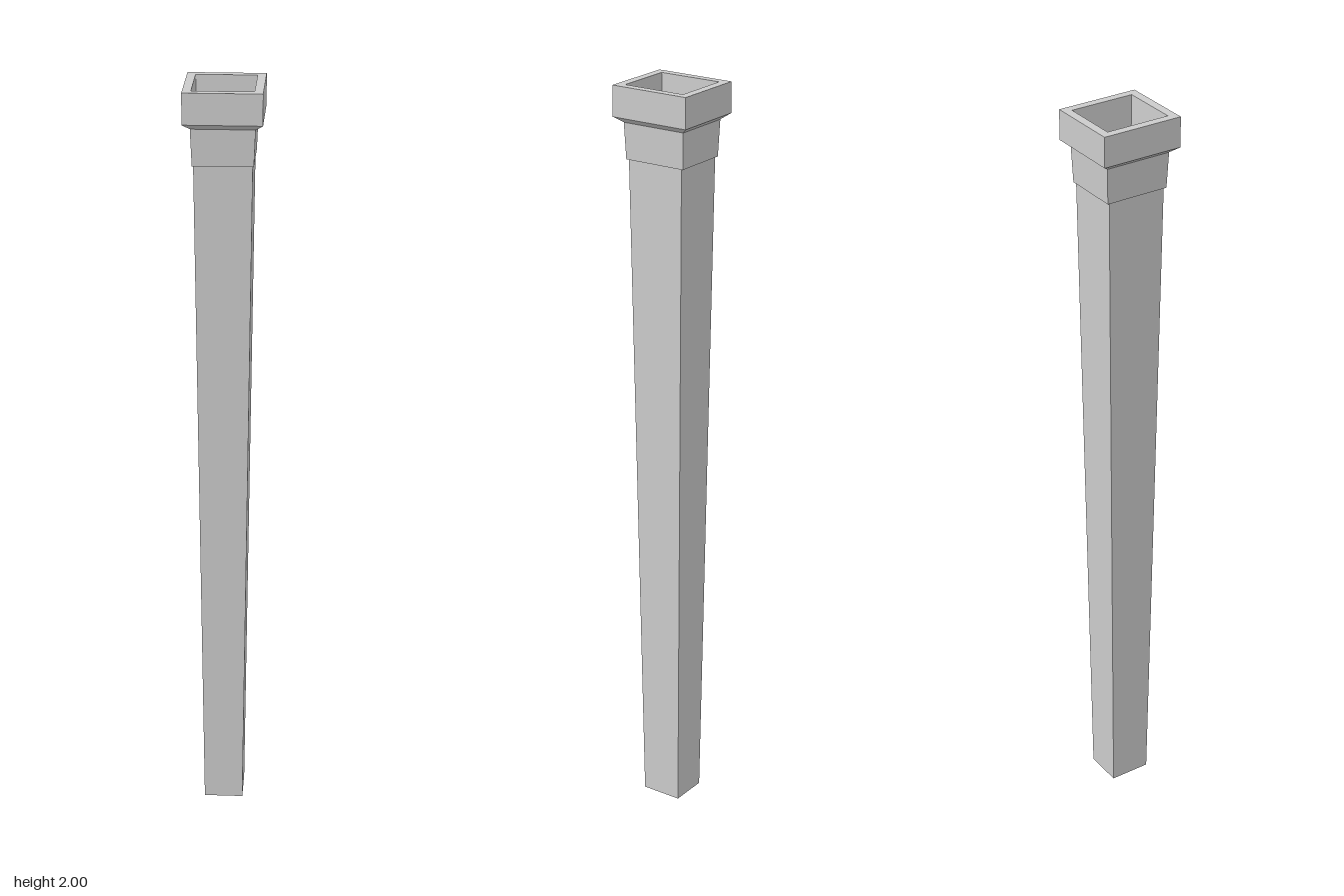
import * as THREE from 'three';

const material = new THREE.MeshStandardMaterial({ color: 0xcccccc, flatShading: true, side: THREE.DoubleSide });

// Skins a list of rectangular sections [y, halfWidth, halfDepth], in order from the outside bottom
function loft(name, sections, capStart, capEnd) {
  const corners = [[-1, 1], [1, 1], [1, -1], [-1, -1]];
  const positions = [];
  const indices = [];
  for (const [y, hx, hz] of sections) {
    for (const [sx, sz] of corners) positions.push(sx * hx, y, sz * hz);
  }
  for (let i = 0; i < sections.length - 1; i++) {
    for (let j = 0; j < 4; j++) {
      const a = i * 4 + j, b = i * 4 + (j + 1) % 4;
      indices.push(a, b, b + 4, a, b + 4, a + 4);
    }
  }
  const e = (sections.length - 1) * 4;
  if (capStart) indices.push(0, 2, 1, 0, 3, 2);
  if (capEnd) indices.push(e, e + 1, e + 2, e, e + 2, e + 3);
  const indexed = new THREE.BufferGeometry();
  indexed.setAttribute('position', new THREE.Float32BufferAttribute(positions, 3));
  indexed.setIndex(indices);
  const geometry = indexed.toNonIndexed();
  geometry.computeVertexNormals();
  const mesh = new THREE.Mesh(geometry, material);
  mesh.name = name;
  return mesh;
}

export function createModel() {
  const group = new THREE.Group();
  group.name = 'taperedLeg';

  // Long solid shaft, narrowing towards the floor
  group.add(loft('shaft', [[0, 0.052, 0.056], [1.81, 0.074, 0.08]], true, true));

  // Hollow collar: up the outside, over the rim and down into the socket
  group.add(loft('collar', [
    [1.81, 0.073, 0.08],
    [1.81, 0.077, 0.086],
    [1.905, 0.081, 0.09],
    [1.92, 0.1, 0.11],
    [2, 0.1, 0.11],
    [2, 0.078, 0.087],
    [1.81, 0.074, 0.082],
  ], false, true));

  return group;
}
